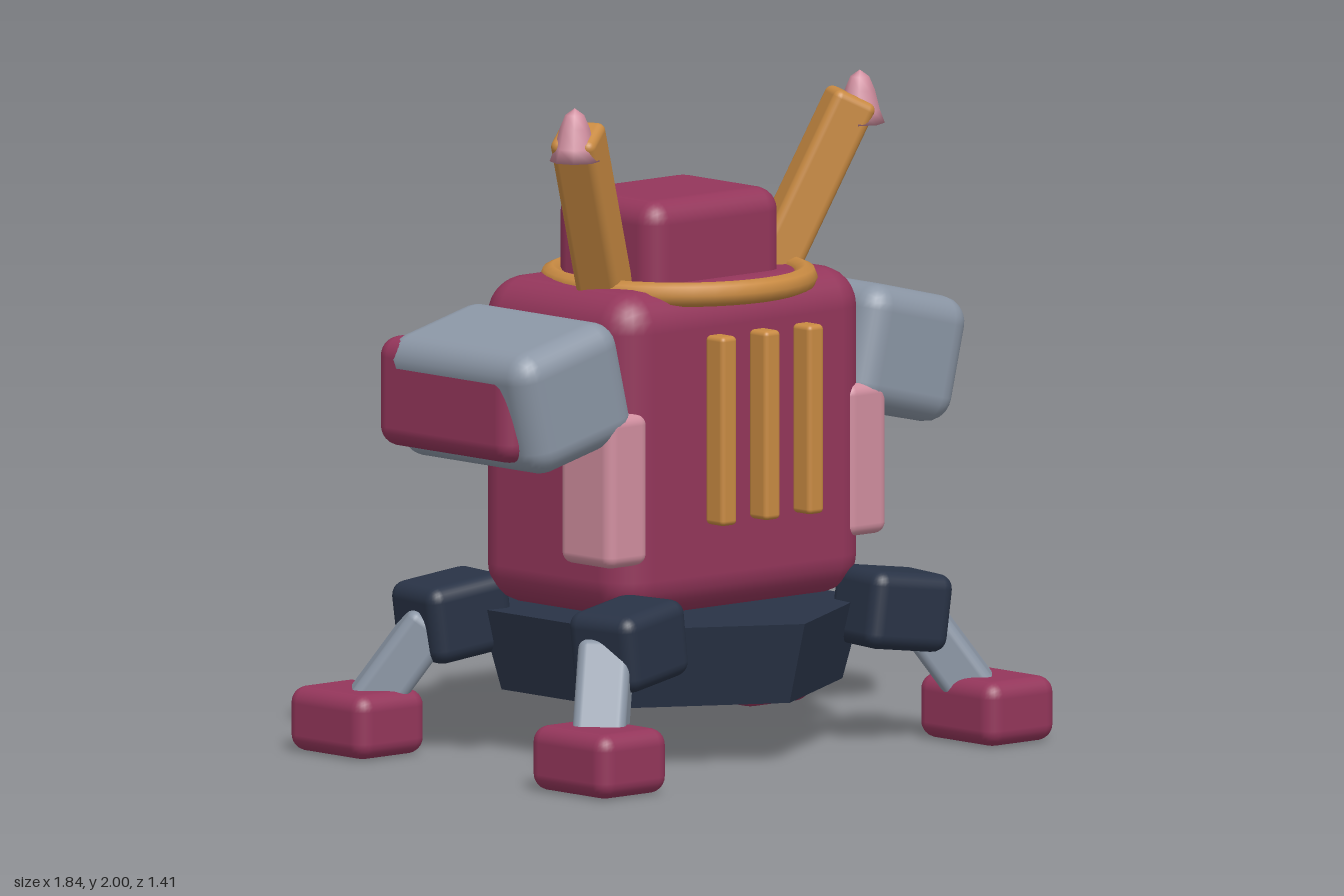
import * as THREE from 'three';
import { RoundedBoxGeometry } from 'three/addons/geometries/RoundedBoxGeometry.js';

const material = (name, color, flatShading = false) => {
  const m = new THREE.MeshStandardMaterial({ color, flatShading });
  m.name = name;
  return m;
};

export function createModel() {
  const crimson = material('crimson', 0x94365b);
  const gold = material('gold', 0xc88a42);
  const grey = material('grey', 0x8b96a5);
  const navy = material('navy', 0x293346);
  const pink = material('pink', 0xd08e9f);
  const navyFaceted = material('navyFaceted', 0x293346, true);

  const model = new THREE.Group();
  model.name = 'walker';

  const add = (name, geometry, mat, x, y, z) => {
    const mesh = new THREE.Mesh(geometry, mat);
    mesh.name = name;
    mesh.position.set(x, y, z);
    model.add(mesh);
    return mesh;
  };
  const box = (name, mat, size, pos, radius) =>
    add(name, new RoundedBoxGeometry(...size, 3, radius), mat, ...pos);
  // Rounded bar running from one point to another, its width kept level
  const bar = (name, mat, from, to, width, thickness, radius) => {
    const a = new THREE.Vector3(...from), b = new THREE.Vector3(...to);
    const mid = a.clone().add(b).multiplyScalar(0.5);
    const mesh = box(name, mat, [width, thickness, a.distanceTo(b)], mid.toArray(), radius);
    mesh.lookAt(b);
    return mesh;
  };

  // Torso and head
  box('torso', crimson, [1.0, 0.985, 0.68], [0, 0.94, 0], 0.12);
  box('head', crimson, [0.54, 0.36, 0.45], [0, 1.5, -0.015], 0.07);
  box('visor', pink, [0.38, 0.1, 0.06], [0, 1.525, -0.248], 0.02);

  // Collar ring
  const collar = add('collar', new THREE.TorusGeometry(0.378, 0.037, 8, 40), gold, 0, 1.417, 0.03);
  collar.rotation.x = Math.PI / 2;

  // Chest bars
  for (const x of [-0.175, 0, 0.175]) {
    box('chestBar', gold, [0.063, 0.57, 0.08], [x, 1.013, 0.41], 0.015);
  }

  // Back plate with round port
  box('backPlate', navy, [0.69, 0.59, 0.2], [0, 0.957, -0.35], 0.07);
  const port = add('portHousing', new THREE.CylinderGeometry(0.215, 0.24, 0.09, 32), navy, 0, 0.967, -0.47);
  port.rotation.x = -Math.PI / 2;
  add('portRing', new THREE.TorusGeometry(0.19, 0.025, 8, 32), gold, 0, 0.967, -0.518);
  const lens = add('portLens', new THREE.CylinderGeometry(0.175, 0.175, 0.04, 32), pink, 0, 0.967, -0.51);
  lens.rotation.x = -Math.PI / 2;

  // Six-sided hull under the torso
  add('hull', new THREE.CylinderGeometry(0.587, 0.52, 0.245, 6), navyFaceted, 0, 0.3075, 0);

  // Pointed cap profile for the horns
  const capProfile = [[0, -0.08], [0.075, -0.08], [0.06, -0.04], [0.045, 0.02], [0.028, 0.06], [0, 0.08]]
    .map(([r, y]) => new THREE.Vector2(r, y));

  for (const s of [1, -1]) {
    // Horn and cap
    bar('horn', gold, [0.285 * s, 1.3, 0.045], [0.557 * s, 1.925, 0.19], 0.14, 0.14, 0.025);
    add('hornCap', new THREE.LatheGeometry(capProfile, 8), pink, 0.575 * s, 1.92, 0.2);

    // Shoulder, outer guard and side arm
    const shoulder = box('shoulder', grey, [0.42, 0.38, 0.65], [0.677 * s, 1.145, 0.02], 0.08);
    shoulder.rotation.z = -0.24 * s;
    box('shoulderGuard', crimson, [0.25, 0.33, 0.6], [0.782 * s, 1.125, -0.03], 0.06);
    box('sideArm', pink, [0.165, 0.46, 0.23], [0.482 * s, 0.85, 0.228], 0.035);

    // Front and back legs
    for (const f of [1, -1]) {
      const hip = box('hip', navy, [0.29, 0.235, 0.25], [0.53 * s, 0.403, 0.39 * f], 0.045);
      hip.rotation.set(0, -0.15 * s * f, -0.13 * s);
      bar('shin', grey, [0.615 * s, 0.4, 0.385 * f], [0.79 * s, 0.08, 0.54 * f], 0.16, 0.145, 0.03);
      box('foot', crimson, [0.275, 0.195, 0.34], [0.782 * s, 0.0975, 0.535 * f], 0.05);
    }
  }
  return model;
}
